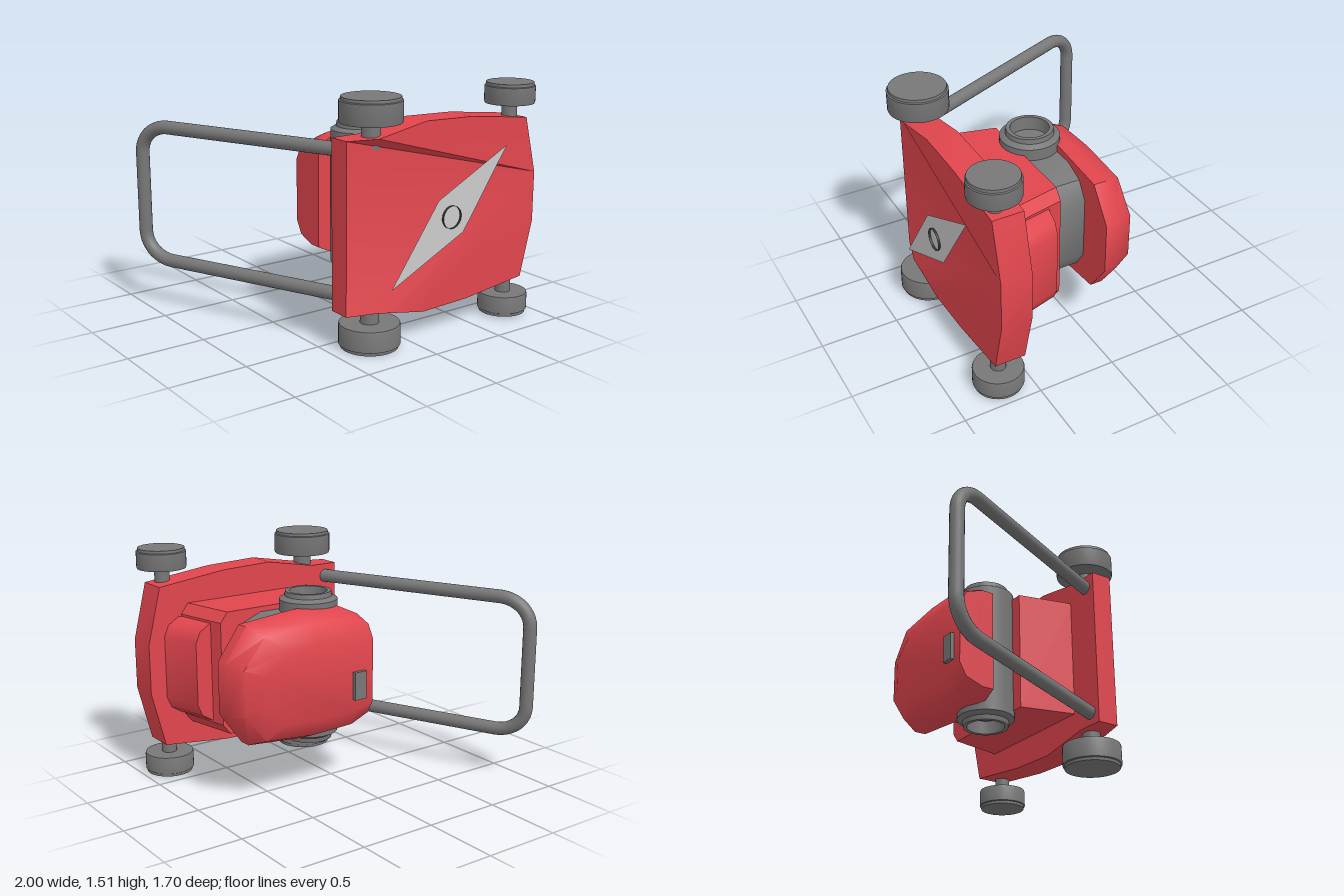
import * as THREE from 'three';
import { toCreasedNormals } from 'three/addons/utils/BufferGeometryUtils.js';

const red = new THREE.MeshStandardMaterial({ color: 0xe0454d });
const grey = new THREE.MeshStandardMaterial({ color: 0x777777 });
const black = new THREE.MeshStandardMaterial({ color: 0x333333, side: THREE.DoubleSide });
const steel = new THREE.MeshStandardMaterial({ color: 0xcccccc, side: THREE.DoubleSide });

// Half outline [x, halfWidth] from nose to tail, mirrored to a closed ring at depth z
function ring(z, half) {
  const up = half.map(([x, h, dz = 0]) => [x, h, z + dz]);
  const down = half.map(([x, h, dz = 0]) => [x, -h, z + dz]).reverse();
  return [...up, ...down];
}

// Closed solid through rings ordered from the underside (+z) to the top (-z)
function loft(rings, crease = 0.6) {
  const n = rings[0].length;
  const index = [];
  rings.slice(1).forEach((_, k) => {
    for (let i = 0; i < n; i++) {
      const a = k * n + i, b = k * n + (i + 1) % n;
      index.push(a, a + n, b + n, a, b + n, b);
    }
  });
  const last = (rings.length - 1) * n;
  for (let i = 1; i < n - 1; i++) {
    index.push(0, i, i + 1, last, last + i + 1, last + i);
  }
  const geo = new THREE.BufferGeometry();
  geo.setAttribute('position', new THREE.Float32BufferAttribute(rings.flat(2), 3));
  geo.setIndex(index);
  return toCreasedNormals(geo, crease);
}

// Turned part about the y axis
function turned(profile) {
  const points = profile.map(([r, y]) => new THREE.Vector2(r, y));
  return toCreasedNormals(new THREE.LatheGeometry(points, 40), 0.5);
}

export function createModel() {
  const model = new THREE.Group();
  model.name = 'lawnMower';
  const body = new THREE.Group();
  body.name = 'mowerBody';
  body.position.y = 0.755;
  model.add(body);

  const add = (name, geo, mat, x = 0, y = 0, z = 0) => {
    const mesh = new THREE.Mesh(geo, mat);
    mesh.name = name;
    mesh.position.set(x, y, z);
    body.add(mesh);
    return mesh;
  };

  // Deck, with the tail edge of its underside sloped
  const deck = [[1, 0.16], [0.91, 0.52], [0.45, 0.575], [0.1, 0.587], [-0.25, 0.522]];
  add('deck', loft([
    ring(0.753, [...deck, [-0.44, 0.522, -0.053]]),
    ring(0.557, [...deck, [-0.44, 0.522]]),
  ]), red);

  // Engine base and the bump on its nose
  const base = (z, nose, tail) => ring(z, [[nose, 0.33], [nose - 0.05, 0.395], [tail, 0.395]]);
  add('engineBase', loft([base(0.56, 0.765, -0.2), base(0.2, 0.69, -0.11)]), red);
  const bump = (z, nose) => ring(z, [[nose, 0.2], [nose - 0.03, 0.27], [nose - 0.1, 0.315], [0.4, 0.315]]);
  add('noseBump', loft([bump(0.56, 0.89), bump(0.29, 0.815)]), red);

  // Engine block under the cover
  const block = [[0.6, 0.2], [0.53, 0.31], [0.4, 0.362], [0.05, 0.362]];
  add('engineBlock', loft([ring(0.21, block), ring(-0.03, block)]), grey);

  // Cross cylinder with a recessed mouth at both ends
  add('crossCylinder', turned([
    [0, -0.4], [0.115, -0.4], [0.12, -0.485], [0.145, -0.485], [0.15, -0.455], [0.185, -0.435],
    [0.185, 0.435], [0.15, 0.455], [0.145, 0.485], [0.12, 0.485], [0.115, 0.4], [0, 0.4],
  ]), grey, 0.115, 0, 0.085);

  // Top cover, rounding off toward the top
  const cover = (z, nose, width) => ring(z, [
    [nose, 0.4 * width], [nose - 0.15, 0.91 * width], [0.3, width], [0, 0.97 * width],
    [-0.13, 0.82 * width],
  ]);
  add('topCover', loft([
    cover(-0.02, 0.845, 0.408), cover(-0.1, 0.845, 0.408),
    cover(-0.22, 0.79, 0.355), cover(-0.268, 0.66, 0.25),
  ], 0.8), red);
  add('coverButton', new THREE.BoxGeometry(0.085, 0.18, 0.05), grey, -0.018, -0.075, -0.268);

  // Wheels and axles, mirrored to both sides
  for (const [name, x, z, r, inner, outer, axle] of [
    ['rear', -0.235, 0.655, 0.187, 0.605, 0.755, 0.058],
    ['front', 0.82, 0.69, 0.157, 0.615, 0.745, 0.048],
  ]) {
    for (const side of [1, -1]) {
      const wheel = turned([
        [0, inner], [r * 0.98, inner], [r, inner + 0.01], [r, outer - 0.022],
        [r * 0.95, outer - 0.018], [r * 0.94, outer], [0, outer],
      ]);
      add(name + 'Wheel', wheel, grey, x, 0, z).rotation.x = side > 0 ? 0 : Math.PI;
      add(name + 'Axle', new THREE.CylinderGeometry(axle, axle, 0.2, 24), grey, x, side * 0.55, z);
    }
  }

  // Blade on its open spindle
  const blade = new THREE.Shape([
    [-0.445, -0.38], [0.105, -0.115], [0.445, 0.38], [-0.095, 0.11],
  ].map(([x, y]) => new THREE.Vector2(x, y)));
  add('blade', new THREE.ShapeGeometry(blade), steel, 0.255, 0, 0.805);
  const spindle = new THREE.CylinderGeometry(0.07, 0.07, 0.08, 32, 1, true).rotateX(Math.PI / 2);
  add('spindle', spindle, black, 0.258, -0.005, 0.78);

  // Handle: two arms and a grip bar joined by rounded corners
  const at = (t, y) => new THREE.Vector3(-0.352 - 0.603 * t, y, 0.57 - 1.38 * t);
  const w = 0.44, bend = 0.86, grip = 0.26;
  const path = new THREE.CurvePath();
  path.add(new THREE.LineCurve3(at(0, -w), at(bend, -w)));
  path.add(new THREE.CubicBezierCurve3(at(bend, -w), at(0.94, -w), at(1, -0.36), at(1, -grip)));
  path.add(new THREE.LineCurve3(at(1, -grip), at(1, grip)));
  path.add(new THREE.CubicBezierCurve3(at(1, grip), at(1, 0.36), at(0.94, w), at(bend, w)));
  path.add(new THREE.LineCurve3(at(bend, w), at(0, w)));
  add('handle', new THREE.TubeGeometry(path, 140, 0.043, 20, false), grey);

  return model;
}
